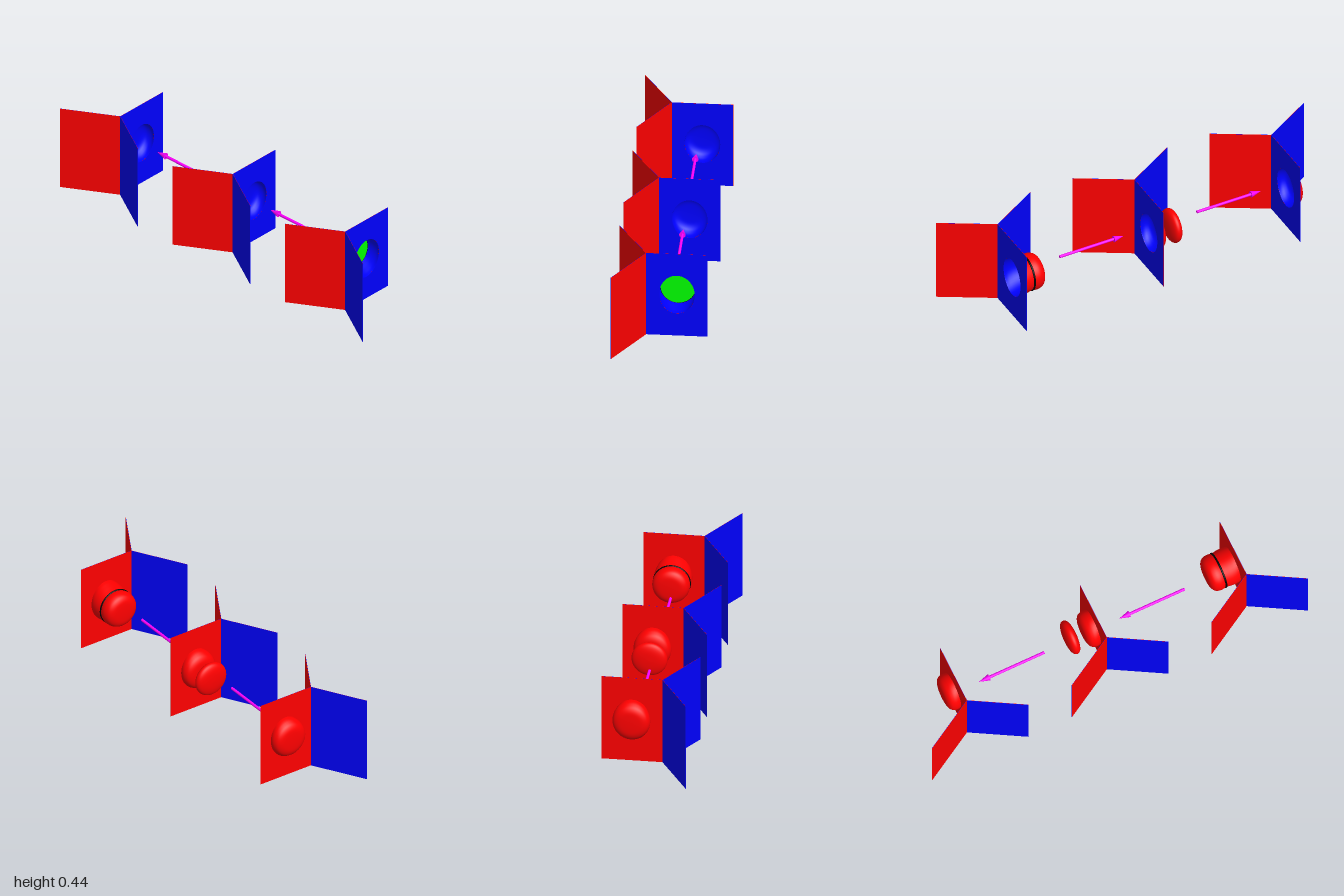
import * as THREE from 'three';
import { mergeVertices } from 'three/addons/utils/BufferGeometryUtils.js';

const RED = 0xff0000, BLUE = 0x0000ff, GREEN = 0x00ff00, BLACK = 0x000000, MAGENTA = 0xff00ff;
const H = 0.445, L = 0.296;          // sheet height and wing length
const PLY = 0.001;                   // thickness of each coloured layer
const JOINT_Z = 0.073, BUD_Z = -0.075, BUD_Y = 0.224;
const R = 0.086, STRETCH = 0.2;      // bud mouth radius, vertical widening at the wing

const paint = color => new THREE.MeshStandardMaterial({ color, roughness: 1, side: THREE.DoubleSide });

function part(name, geometry, color) {
  const mesh = new THREE.Mesh(geometry, paint(color));
  mesh.name = name;
  return mesh;
}

// Flat two-ply wing starting at the joint, with an optional hole for the bud
function wing(angle, hole) {
  const shape = new THREE.Shape();
  shape.moveTo(0, 0).lineTo(L, 0).lineTo(L, H).lineTo(0, H).closePath();
  if (hole) {
    const path = new THREE.Path();
    path.absellipse(JOINT_Z - BUD_Z, BUD_Y, R, R * (1 + STRETCH), 0, Math.PI * 2, true);
    shape.holes.push(path);
  }
  const group = new THREE.Group();
  group.name = 'wing';
  const ply = new THREE.ExtrudeGeometry(shape, { depth: PLY, bevelEnabled: false, curveSegments: 24 });
  const blueSide = part('wingBlueSide', ply, BLUE);
  const redSide = part('wingRedSide', ply, RED);
  redSide.position.z = -PLY;
  group.add(blueSide, redSide);
  group.rotation.y = angle;
  group.position.z = JOINT_Z;
  return group;
}

// Surface turned about the x axis towards -x; profile pairs are [radius, distance]
function turned(profile, stretch) {
  const curve = new THREE.SplineCurve(profile.map(([r, h]) => new THREE.Vector2(r, h)));
  const points = curve.getPoints(24).map(p => new THREE.Vector2(Math.max(0, p.x), p.y));
  const g = new THREE.LatheGeometry(points, 48).rotateZ(Math.PI / 2);
  g.deleteAttribute('uv');
  g.deleteAttribute('normal');
  const p = g.attributes.position;
  for (let i = 0; i < p.count; i++) {
    const k = Math.max(0, 1 + p.getX(i) / 0.07);
    p.setY(i, p.getY(i) * (1 + stretch * k * k));
  }
  const merged = mergeVertices(g, 1e-5);
  merged.computeVertexNormals();
  return merged;
}

// Rounded dome with a flat top, slightly bulging above its mouth
const dome = (start, height) => [
  [0.087, 0], [0.091, 0.25], [0.09, 0.5], [0.081, 0.77], [0.06, 0.94], [0.03, 0.99], [0, 1],
].map(([r, h]) => [r, start + h * height]);

function atBud(object, x = 0) {
  object.position.set(x, BUD_Y, BUD_Z);
  return object;
}

// Hollow body, red outside with a blue lining just inside it
function hollow(name, profile) {
  const group = new THREE.Group();
  group.name = name;
  const inner = profile.map(([r, h]) => [r * 0.985, h * 0.985]);
  group.add(
    part(name + 'Outside', turned(profile, STRETCH), RED),
    part(name + 'Lining', turned(inner, STRETCH), BLUE));
  return atBud(group);
}

function stage(name, x) {
  const group = new THREE.Group();
  group.name = name;
  group.position.x = x;
  group.add(wing(-Math.PI / 6, false), wing(-Math.PI * 5 / 6, false), wing(Math.PI / 2, true));
  return group;
}

// Arrow pointing to -x
function arrow(tail) {
  const group = new THREE.Group();
  group.name = 'arrow';
  const shaft = part('arrowShaft',
    new THREE.CylinderGeometry(0.007, 0.007, 0.295, 16).rotateZ(Math.PI / 2), MAGENTA);
  shaft.position.x = -0.1475;
  const head = part('arrowHead',
    new THREE.ConeGeometry(0.016, 0.055, 16).rotateZ(Math.PI / 2), MAGENTA);
  head.position.x = -0.3205;
  group.add(shaft, head);
  group.position.set(tail, 0.238, -0.055);
  return group;
}

export function createModel() {
  const model = new THREE.Group();
  model.name = 'buddingSequence';

  // First stage: neck, dark collar, flat green partition and cap
  const first = stage('neckedStage', 0.743);
  const collar = part('collar',
    new THREE.TorusGeometry(0.087, 0.005, 12, 48).rotateY(Math.PI / 2), BLACK);
  const partition = part('partition',
    new THREE.CircleGeometry(0.085, 48).rotateY(Math.PI / 2), GREEN);
  first.add(
    hollow('neck', [[0.087, 0], [0.091, 0.018], [0.092, 0.04], [0.09, 0.06], [0.087, 0.075]]),
    atBud(part('cap', turned(dome(0.077, 0.073), 0), RED)),
    atBud(collar, -0.077),
    atBud(partition, -0.073));

  // Second stage: closed bud with a separate pod beside it
  const second = stage('splitStage', 0);
  const pod = [
    [0, -0.03], [0.045, -0.027], [0.077, -0.017], [0.087, 0], [0.077, 0.017], [0.045, 0.027], [0, 0.03],
  ];
  second.add(
    hollow('bud', dome(0, 0.062)),
    atBud(part('pod', turned(pod, 0), RED), -0.123));

  // Third stage: closed bud only
  const third = stage('closedStage', -0.743);
  third.add(hollow('bud', dome(0, 0.062)));

  model.add(first, second, third, arrow(0.475), arrow(-0.27));
  return model;
}
